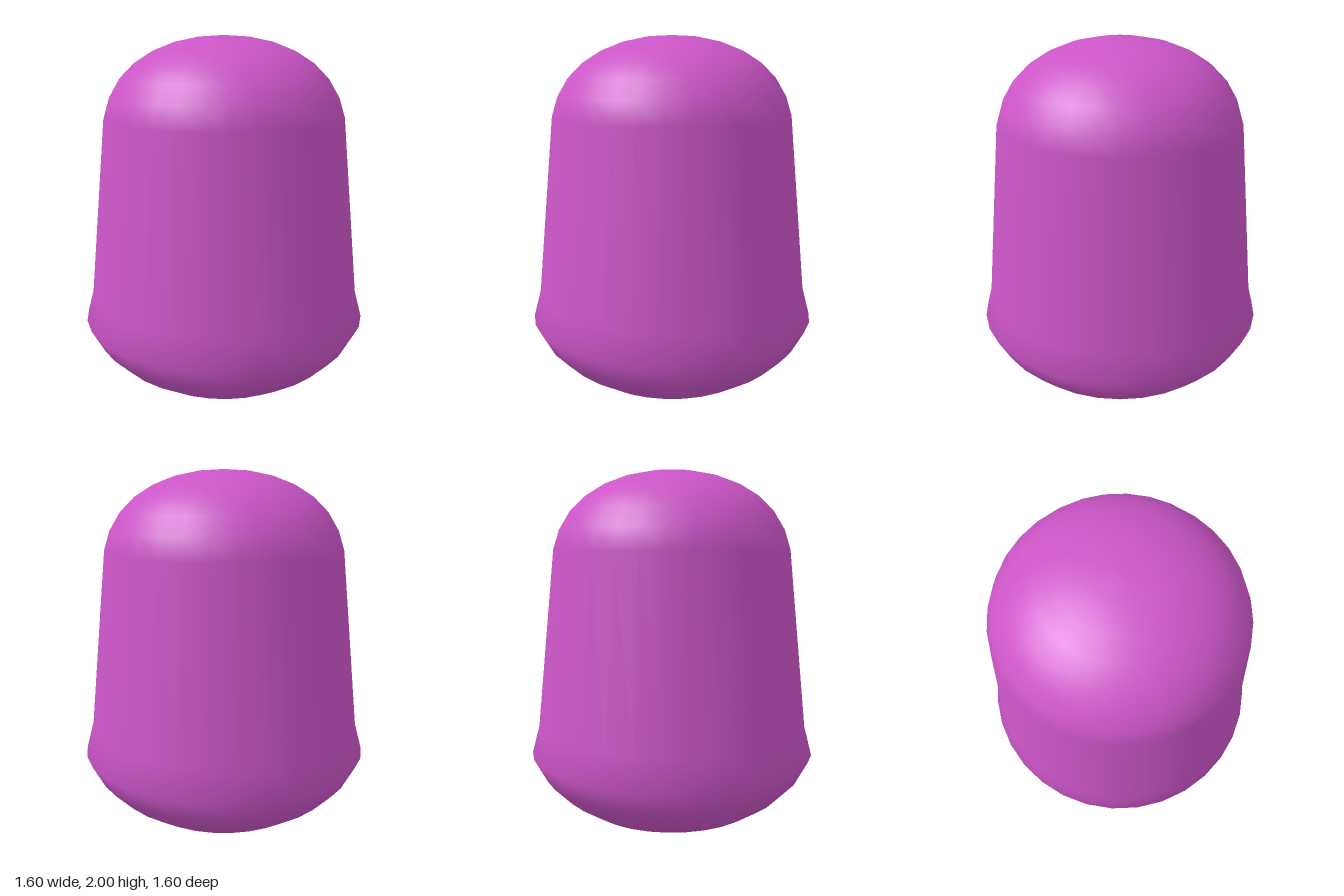
import * as THREE from 'three';

export function createModel() {
  const group = new THREE.Group();
  group.name = 'bellDome';

  // Half profile, from the bottom of the bowl up to the crown
  const profile = [
    // rounded underside
    [0, 0], [0.17, 0.015], [0.345, 0.052], [0.5, 0.112], [0.63, 0.198], [0.73, 0.3],
    // rim, flared skirt and tapering wall
    [0.8, 0.43], [0.76, 0.58], [0.658, 1.57],
    // domed crown
    [0.625, 1.675], [0.565, 1.775], [0.485, 1.855], [0.385, 1.918],
    [0.265, 1.965], [0.135, 1.992], [0, 2],
  ].map(([r, y]) => new THREE.Vector2(r, y));

  const material = new THREE.MeshStandardMaterial({ color: 0xcc55c8, side: THREE.DoubleSide });
  const body = new THREE.Mesh(new THREE.LatheGeometry(profile, 32), material);
  body.name = 'body';
  group.add(body);
  return group;
}
